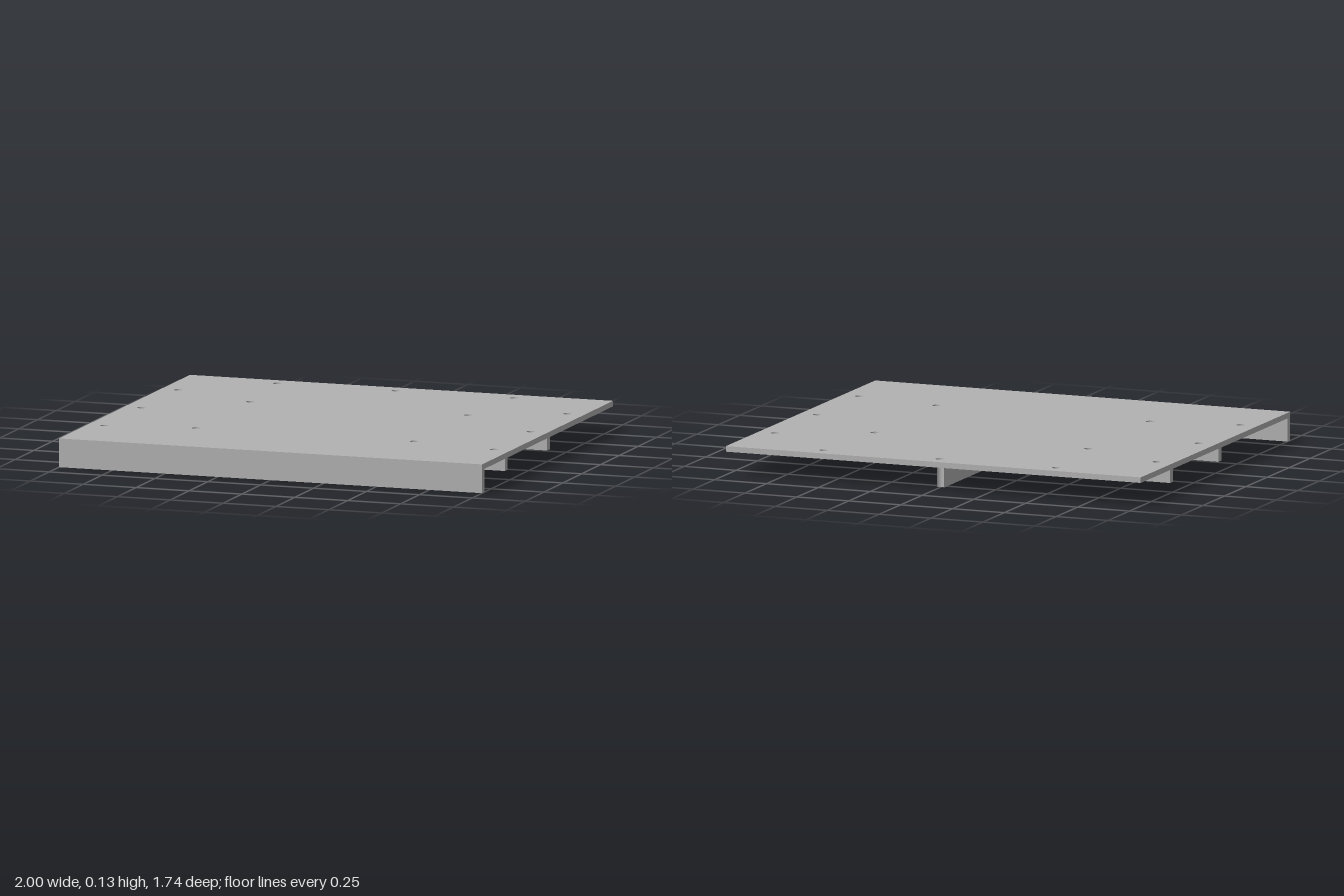
import * as THREE from 'three';

export function createModel() {
  const model = new THREE.Group();
  model.name = 'mountingPanel';
  const grey = new THREE.MeshStandardMaterial({ color: 0xb2b2b2 });
  grey.name = 'plain grey';

  const HALF_X = 1, HALF_Z = 0.87, TOP = 0.13, UNDER = 0.105, HOLE = 0.019, RIB = 0.035;

  const add = (name, geometry, x = 0, y = 0, z = 0) => {
    const mesh = new THREE.Mesh(geometry, grey);
    mesh.name = name;
    mesh.position.set(x, y, z);
    model.add(mesh);
  };

  // Extrudes a plan drawn in (x, -z) upwards from y = 0
  const extrudeUp = (shape, height) =>
    new THREE.ExtrudeGeometry(shape, { depth: height, bevelEnabled: false, curveSegments: 24 })
      .rotateX(-Math.PI / 2);

  const circle = (x, z, r) => new THREE.Path().absarc(x, -z, r, 0, Math.PI * 2, true);

  // Hole centres: bosses, side edges and back edge
  const bosses = [-0.515, 0.515].flatMap(x => [[x, -0.308], [x, 0.411]]);
  const sides = [-0.92, 0.92].flatMap(x => [-0.488, 0, 0.488].map(z => [x, z]));
  const back = [-0.56, 0, 0.56].map(x => [x, -0.793]);

  // Top plate with drilled holes
  const plate = new THREE.Shape([
    new THREE.Vector2(-HALF_X, -HALF_Z), new THREE.Vector2(HALF_X, -HALF_Z),
    new THREE.Vector2(HALF_X, HALF_Z), new THREE.Vector2(-HALF_X, HALF_Z),
  ]);
  for (const [x, z] of [...bosses, ...sides, ...back]) plate.holes.push(circle(x, z, HOLE));
  add('topPlate', extrudeUp(plate, TOP - UNDER), 0, UNDER, 0);

  // Front lip
  add('frontLip', new THREE.BoxGeometry(2 * HALF_X, UNDER, 0.032), 0, UNDER / 2, HALF_Z - 0.016);

  // Cross ribs
  for (const z of [-0.28, 0.28]) {
    add('crossRib', new THREE.BoxGeometry(1.81, UNDER, RIB), 0, UNDER / 2, z);
  }

  // Centre rib, its back end hollowed around the middle hole
  const w = RIB / 2, a = Math.acos(w / HOLE);
  const rib = new THREE.Shape();
  rib.moveTo(-w, -0.793);
  rib.lineTo(w, -0.793);
  rib.lineTo(w, 0.793 - HOLE * Math.sin(a));
  rib.absarc(0, 0.793, HOLE, -a, a - Math.PI, true);
  rib.closePath();
  add('centreRib', extrudeUp(rib, UNDER));

  // Round bosses with hexagonal nut pockets
  const boss = new THREE.Shape().absarc(0, 0, 0.082, 0, Math.PI * 2, false);
  const hexagon = Array.from({ length: 6 }, (_, i) =>
    new THREE.Vector2(Math.cos(-i * Math.PI / 3), Math.sin(-i * Math.PI / 3)).multiplyScalar(0.04));
  boss.holes.push(new THREE.Path(hexagon));
  const bossGeometry = extrudeUp(boss, UNDER - 0.043);
  for (const [x, z] of bosses) add('nutBoss', bossGeometry, x, 0.043, z);

  return model;
}
